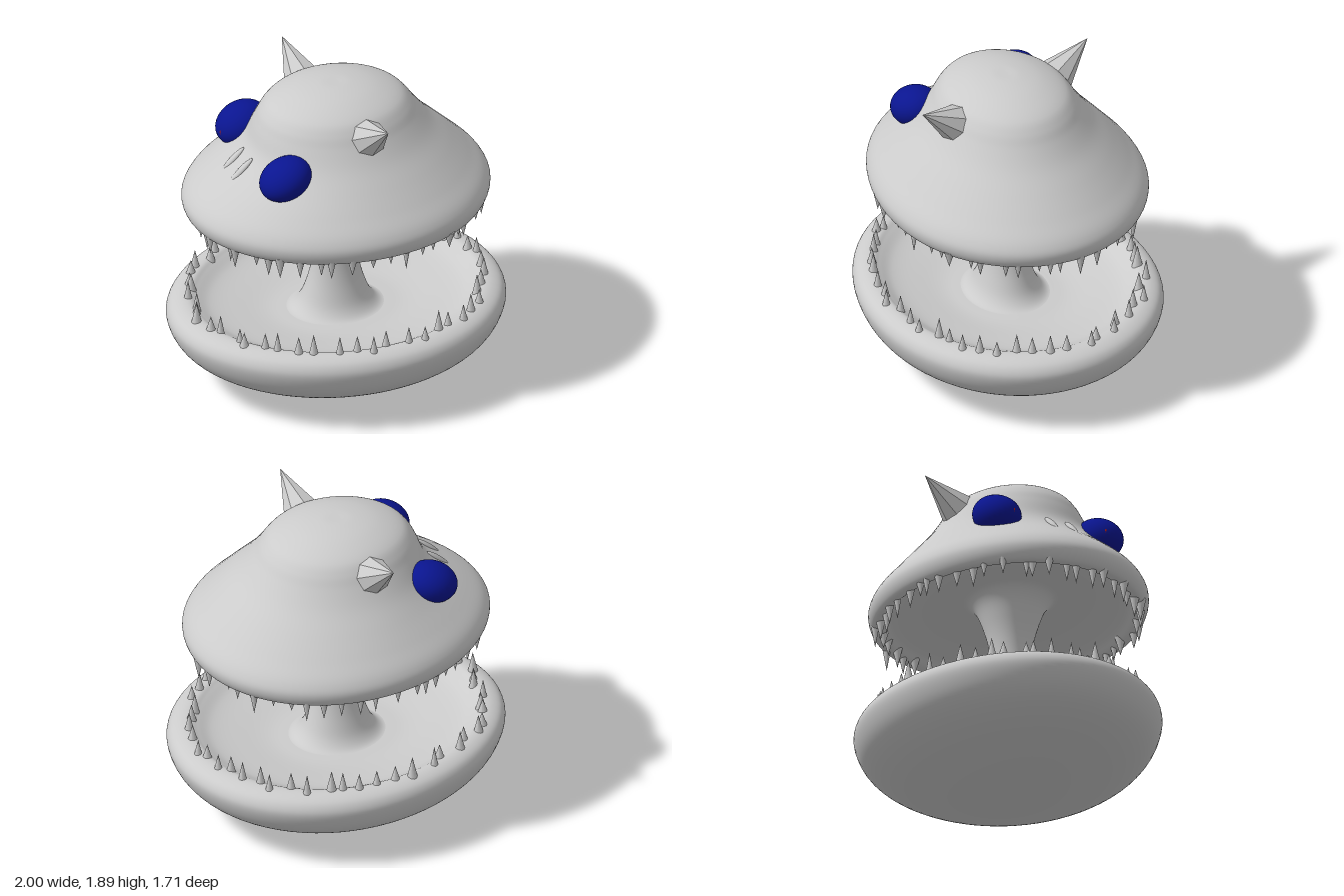
import * as THREE from 'three';
import { mergeVertices } from 'three/addons/utils/BufferGeometryUtils.js';

const grey = new THREE.MeshStandardMaterial({ color: 0xcccccc, side: THREE.DoubleSide });
const hornGrey = new THREE.MeshStandardMaterial({ color: 0xcccccc, flatShading: true });
const blue = new THREE.MeshStandardMaterial({ color: 0x0a1590 });
const red = new THREE.MeshStandardMaterial({ color: 0xbb1a00 });

let seed = 7;
const random = () => (seed = (seed * 16807) % 2147483647) / 2147483647;

// Depth of the egg-shaped plan relative to its width, fuller towards +x
const depth = x => 0.855 * (1 + 0.05 * x);

// Smooth turned form squeezed to the egg plan; pinch(x, y) narrows the snout
function ovalForm(name, profile, pinch = () => 1) {
  const curve = new THREE.CatmullRomCurve3(profile.map(([r, y]) => new THREE.Vector3(r, y, 0)));
  const points = curve.getPoints(profile.length * 6).map(p => new THREE.Vector2(Math.max(0, p.x), p.y));
  let geometry = new THREE.LatheGeometry(points, 72);
  const pos = geometry.attributes.position;
  for (let i = 0; i < pos.count; i++) {
    const x = pos.getX(i), y = pos.getY(i), z = pos.getZ(i);
    const forward = Math.max(0, -x / (Math.hypot(x, z) || 1));
    const k = 1 - forward * forward * (1 - pinch(x, y));
    pos.setXYZ(i, x * k, y, z * k * depth(x));
  }
  geometry.deleteAttribute('uv');
  geometry.deleteAttribute('normal');
  geometry = mergeVertices(geometry, 1e-5);
  geometry.computeVertexNormals();
  const mesh = new THREE.Mesh(geometry, grey);
  mesh.name = name;
  return mesh;
}

// Cone from a base point towards a tip
function spike(name, base, tip, radius, sides, material) {
  const a = new THREE.Vector3(...base), b = new THREE.Vector3(...tip);
  const dir = b.clone().sub(a);
  const mesh = new THREE.Mesh(new THREE.ConeGeometry(radius, dir.length(), sides), material);
  mesh.position.copy(a).add(b).multiplyScalar(0.5);
  mesh.quaternion.setFromUnitVectors(new THREE.Vector3(0, 1, 0), dir.normalize());
  mesh.name = name;
  return mesh;
}

function ellipsoid(name, material, centre, radii, tilt = 0) {
  const mesh = new THREE.Mesh(new THREE.SphereGeometry(1, 32, 20), material);
  mesh.position.set(...centre);
  mesh.scale.set(...radii);
  mesh.rotation.z = tilt;
  mesh.name = name;
  return mesh;
}

// Uneven ring of teeth; up is +1 or -1
function teethRing(name, count, ring, y, up) {
  const group = new THREE.Group();
  group.name = name;
  for (let i = 0; i < count; i++) {
    const a = (i + (random() - 0.5) * 0.7) / count * Math.PI * 2;
    const r = ring + (random() - 0.5) * 0.06;
    const x = r * Math.cos(a), z = r * Math.sin(a) * depth(x);
    const length = 0.1 + random() * 0.05;
    group.add(spike('tooth', [x, y, z], [x, y + up * length, z], 0.024 + random() * 0.01, 10, grey));
  }
  return group;
}

export function createModel() {
  const model = new THREE.Group();
  model.name = 'bigMouthCreature';

  // Bowl-shaped lower jaw with a sunken floor
  model.add(ovalForm('lowerJaw', [
    [0, 0], [0.2, 0.01], [0.5, 0.065], [0.75, 0.145], [0.9, 0.235], [0.97, 0.32], [1, 0.42],
    [0.975, 0.475], [0.92, 0.505], [0.86, 0.51], [0.82, 0.49], [0.74, 0.45], [0.55, 0.41],
    [0.4, 0.39], [0.27, 0.39],
  ]));

  // Waisted throat joining the jaws
  model.add(ovalForm('throat', [
    [0.34, 0.385], [0.27, 0.395], [0.22, 0.44], [0.175, 0.54], [0.14, 0.68], [0.13, 0.82],
    [0.145, 0.95], [0.18, 1.07], [0.23, 1.18], [0.28, 1.23], [0.35, 1.245],
  ]));

  // Domed head with a hollow palate and a lower snout
  model.add(ovalForm('head', [
    [0.27, 1.24], [0.42, 1.235], [0.62, 1.2], [0.76, 1.155], [0.82, 1.115], [0.87, 1.112],
    [0.9, 1.15], [0.908, 1.205], [0.88, 1.265], [0.79, 1.36], [0.68, 1.47], [0.57, 1.58],
    [0.49, 1.68], [0.445, 1.745], [0.39, 1.8], [0.25, 1.86], [0.1, 1.888], [0, 1.89],
  ], (x, y) => 1 - 0.12 * Math.exp(-(((y - 1.52) / 0.14) ** 2))));

  model.add(teethRing('lowerTeeth', 50, 0.87, 0.49, 1));
  model.add(teethRing('upperTeeth', 50, 0.84, 1.14, -1));

  for (const side of [1, -1]) {
    const tag = side > 0 ? 'Front' : 'Back';
    const z = side * 0.335;
    // Eye with a narrow pupil
    model.add(ellipsoid('eye' + tag, blue, [-0.445, 1.525, z], [0.16, 0.12, 0.14], 0.4));
    model.add(ellipsoid('pupil' + tag, red, [-0.57, 1.495, z - side * 0.03], [0.024, 0.045, 0.022], 0.15));
    // Nostril ridge
    model.add(ellipsoid('nostril' + tag, grey, [-0.61, 1.465, side * 0.065], [0.095, 0.018, 0.022], 0.75));
    // Horn
    model.add(spike('horn' + tag, [side * 0.05, 1.69, side * 0.35],
      [side * 0.083, 1.865, side * 0.61], 0.125, 8, hornGrey));
  }
  return model;
}
